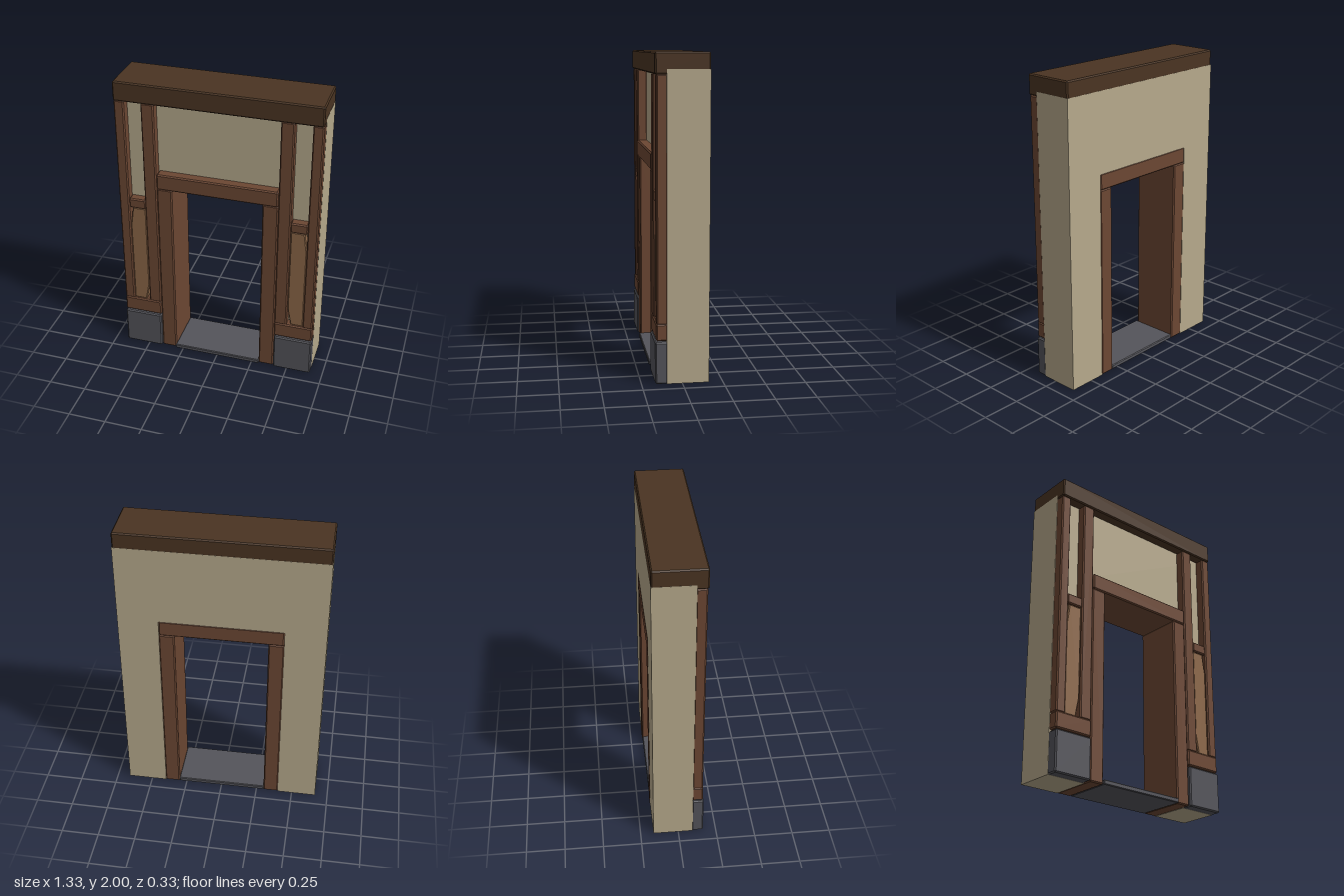
import * as THREE from 'three';
import { ConvexGeometry } from 'three/addons/geometries/ConvexGeometry.js';

const material = (name, color) => {
  const m = new THREE.MeshStandardMaterial({ color });
  m.name = name;
  return m;
};

// Box given by its limits, with all edges chamfered by c
function chamferBox([x0, x1], [y0, y1], [z0, z1], c = 0.008) {
  const h = [(x1 - x0) / 2, (y1 - y0) / 2, (z1 - z0) / 2];
  const points = [];
  for (const sx of [-1, 1]) for (const sy of [-1, 1]) for (const sz of [-1, 1]) {
    for (let axis = 0; axis < 3; axis++) {
      const d = h.map((v, i) => (i === axis ? v : v - c));
      points.push(new THREE.Vector3(sx * d[0], sy * d[1], sz * d[2]));
    }
  }
  const geometry = new ConvexGeometry(points);
  geometry.translate((x0 + x1) / 2, (y0 + y1) / 2, (z0 + z1) / 2);
  return geometry;
}

const outline = (pts) => new THREE.Shape(pts.map(([x, y]) => new THREE.Vector2(x, y)));

export function createModel() {
  const model = new THREE.Group();
  model.name = 'timberFramedDoorway';
  const plaster = material('plaster', 0xb6a98c);
  const timber = material('timber', 0x6c4733);
  const darkTimber = material('darkTimber', 0x4a3422);
  const lightTimber = material('lightTimber', 0x8c6748);
  const stone = material('stone', 0x54545a);

  const add = (name, geometry, mat) => {
    const mesh = new THREE.Mesh(geometry, mat);
    mesh.name = name;
    model.add(mesh);
  };

  // Plaster wall with the door opening cut out
  const wall = new THREE.ExtrudeGeometry(outline([
    [-0.664, 0], [-0.4, 0], [-0.4, 1.38], [0.4, 1.38],
    [0.4, 0], [0.664, 0], [0.664, 1.9], [-0.664, 1.9],
  ]), { depth: 0.261, bevelEnabled: false });
  wall.translate(0, 0, -0.165);
  add('wall', wall, plaster);

  // Top beam, door lintel and threshold
  add('topBeam', chamferBox([-0.663, 0.663], [1.87, 2], [-0.164, 0.165]), darkTimber);
  add('doorLintel', chamferBox([-0.4, 0.4], [1.278, 1.386], [-0.168, 0.16]), timber);
  add('threshold', chamferBox([-0.302, 0.302], [0, 0.03], [-0.164, 0.165], 0.005), stone);

  // Parts mirrored on both sides
  for (const side of [1, -1]) {
    const prefix = side > 0 ? 'left' : 'right';
    const span = (a, b) => (side > 0 ? [a, b] : [-b, -a]);
    const part = (name, x, y, z, mat) =>
      add(prefix + name, chamferBox(span(...x), y, z), mat);

    part('DoorJamb', [0.3, 0.402], [0, 1.28], [-0.167, 0.155], timber);
    part('OuterPost', [0.596, 0.663], [0.372, 1.872], [0.09, 0.158], timber);
    part('InnerPost', [0.402, 0.486], [0.372, 1.872], [0.09, 0.158], timber);
    part('SillRail', [0.402, 0.663], [0.27, 0.376], [0.09, 0.16], timber);
    part('MiddleRail', [0.484, 0.598], [1.107, 1.176], [0.09, 0.155], timber);
    part('StoneBase', [0.405, 0.664], [0, 0.263], [0.09, 0.166], stone);

    // Slanted brace filling the lower bay
    const pts = [
      [0.511, 0.375], [0.597, 0.375], [0.597, 0.97], [0.578, 1.106],
      [0.487, 1.106], [0.487, 0.5],
    ].map(([x, y]) => [side * x, y]);
    if (side < 0) pts.reverse();
    const brace = new THREE.ExtrudeGeometry(outline(pts), {
      depth: 0.044, bevelThickness: 0.006, bevelSize: 0.006, bevelOffset: -0.006, bevelSegments: 1,
    });
    brace.translate(0, 0, 0.096);
    add(prefix + 'Brace', brace, lightTimber);
  }
  return model;
}
